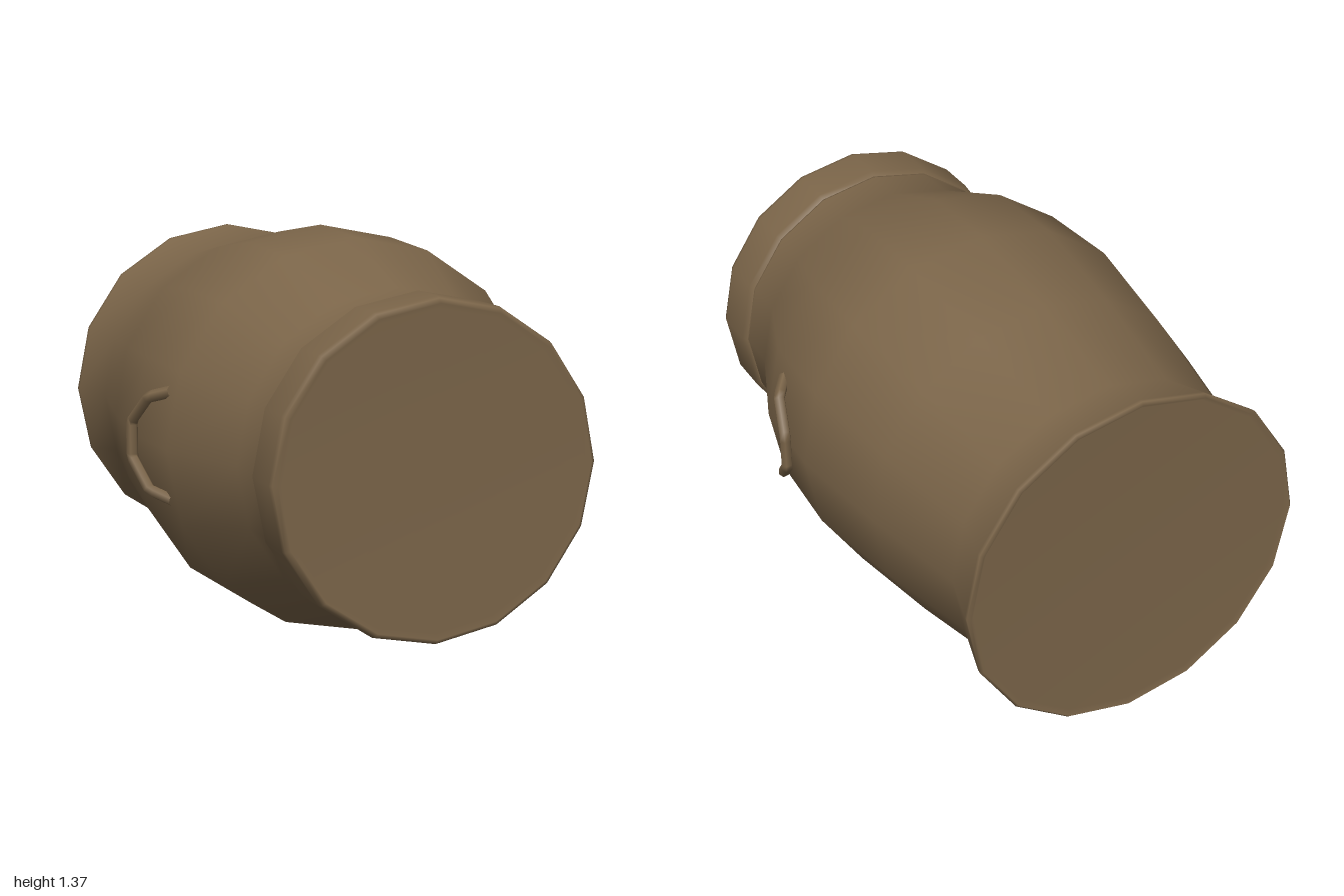
import * as THREE from 'three';

const SIDES = 16;
const CENTRE_Y = 0.688;

export function createModel() {
  const model = new THREE.Group();
  const clay = new THREE.MeshStandardMaterial({ color: 0x7b6549 });
  clay.name = 'brown clay';

  // Turned part along z, from [radius, z] pairs running back to front
  function turned(name, profile) {
    const points = profile.map(([r, z]) => new THREE.Vector2(r, z));
    const geometry = new THREE.LatheGeometry(points, SIDES).rotateX(Math.PI / 2);
    const mesh = new THREE.Mesh(geometry, clay);
    mesh.name = name;
    mesh.position.y = CENTRE_Y;
    model.add(mesh);
  }

  // Bulging body with a slightly recessed, flared end
  turned('body', [
    [0, -0.985], [0.583, -0.985], [0.598, -1], [0.608, -0.99], [0.606, -0.975],
    [0.555, -0.8], [0.63, -0.4], [0.687, 0], [0.67, 0.33], [0.54, 0.65], [0.532, 0.82],
  ]);

  // Collar with a soft rim around a slightly recessed lid
  turned('collarBack', [[0.5, 0.808], [0.536, 0.808]]);
  turned('collar', [
    [0.536, 0.808], [0.55, 0.825], [0.55, 0.97], [0.545, 0.988],
    [0.53, 1], [0.514, 0.985], [0, 0.985],
  ]);

  // Bent handle on each side
  const path = new THREE.CurvePath();
  const bends = [
    [0.63, 0.87, 0.262], [0.685, 0.845, 0.19], [0.714, 0.75, 0.09],
    [0.714, 0.626, 0.09], [0.685, 0.531, 0.19], [0.63, 0.506, 0.262],
  ].map((p) => new THREE.Vector3(...p));
  for (let i = 1; i < bends.length; i++) path.add(new THREE.LineCurve3(bends[i - 1], bends[i]));
  const handleGeometry = new THREE.TubeGeometry(path, 24, 0.02, 6);
  for (const side of [1, -1]) {
    const handle = new THREE.Mesh(handleGeometry, clay);
    handle.name = side > 0 ? 'leftHandle' : 'rightHandle';
    handle.scale.x = side;
    model.add(handle);
  }

  return model;
}
